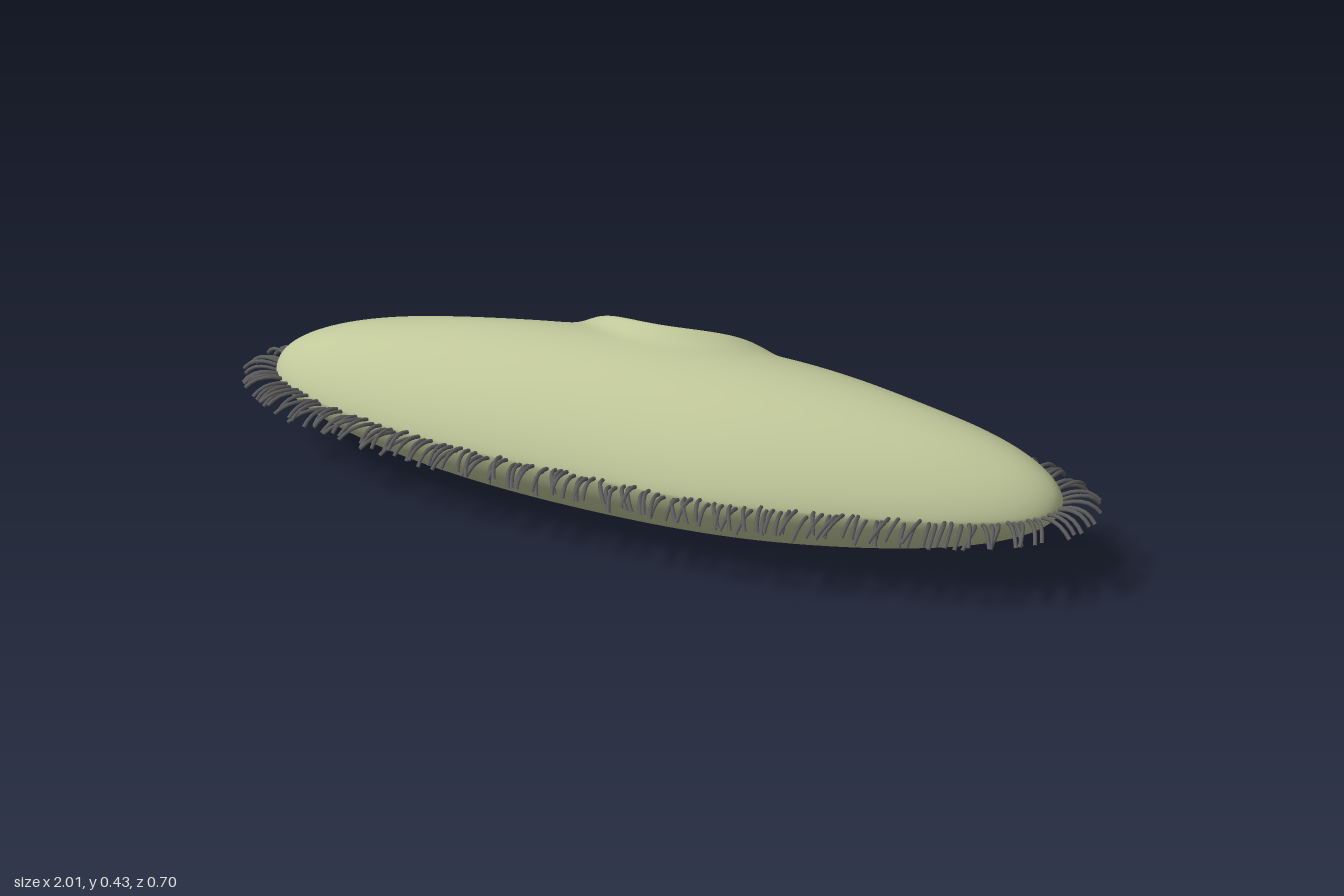
import * as THREE from 'three';
import { mergeGeometries } from 'three/addons/utils/BufferGeometryUtils.js';

const bodyMat = new THREE.MeshStandardMaterial({ color: 0xc0c799 });
bodyMat.name = 'pale olive';
const ciliaMat = new THREE.MeshStandardMaterial({ color: 0x5e5e5e });
ciliaMat.name = 'mid grey';

const gauss = (x, centre, width) => Math.exp(-(((x - centre) / width) ** 2));

// Half width of the body in plan, at a given x, towards the front or the back
function halfWidth(x, front) {
  if (front) return 0.255 + 0.014 * gauss(x, 0.25, 0.25);
  return 0.262 - 0.05 * gauss(x, -0.45, 0.25) - 0.025 * gauss(x, 0, 0.15)
    + 0.012 * gauss(x, 0.3, 0.15) - 0.025 * gauss(x, 0.62, 0.14);
}

// Maps a direction on the unit sphere to the slipper-shaped body
function bodyPoint(d) {
  const c = Math.hypot(d.y, d.z);
  const x = 0.925 * d.x;
  if (c < 1e-6) return new THREE.Vector3(x, 0.19, 0);
  const rise = Math.sign(d.y) * Math.abs(d.y / c) ** 1.4;
  return new THREE.Vector3(
    x,
    0.19 + (d.y > 0 ? 0.212 : 0.19) * c * rise,
    halfWidth(x, d.z > 0) * d.z
  );
}

// Polar frame centred on the mouth opening, high on the back
const TILT = THREE.MathUtils.degToRad(50);
const pole = new THREE.Vector3(0, Math.cos(TILT), -Math.sin(TILT));
const forward = new THREE.Vector3(0, Math.sin(TILT), Math.cos(TILT));
const inward = new THREE.Vector3(0, -0.76, 0.65);

// Angular radius of the mouth rim: long to the front, short to the back
function rimAngle(phi) {
  const s = Math.sin(phi);
  const n = s > 0 ? 1.9 : 2.4;
  const b = s > 0 ? 0.66 : 0.36;
  return (Math.abs(Math.cos(phi) / 0.22) ** n + Math.abs(s / b) ** n) ** (-1 / n);
}

function surfacePoint(theta, phi) {
  const d = pole.clone().multiplyScalar(Math.cos(theta))
    .addScaledVector(forward, Math.sin(theta) * Math.sin(phi));
  d.x += Math.sin(theta) * Math.cos(phi);
  const p = bodyPoint(d);
  const k = theta / rimAngle(phi);
  // raised lip, highest at the front of the mouth
  const lip = 0.008 + 0.022 * Math.max(0, Math.sin(phi)) ** 2;
  p.y += lip * gauss(k, 1, 0.22);
  // hollow inside the rim, with steep walls and a flat floor
  if (k < 1) p.addScaledVector(inward, 0.1 * (1 - k ** 5));
  return p;
}

// Rings around the mouth axis, sharing vertices along the seam
function ringSurface(rings, cols, angleAt) {
  const pos = [], idx = [];
  for (let i = 0; i <= rings; i++) {
    for (let j = 0; j < cols; j++) {
      const phi = (j / cols) * Math.PI * 2;
      pos.push(...surfacePoint(angleAt(i / rings, phi), phi).toArray());
    }
  }
  for (let i = 0; i < rings; i++) {
    for (let j = 0; j < cols; j++) {
      const a = i * cols + j, c = i * cols + ((j + 1) % cols);
      idx.push(a, c, a + cols, c, c + cols, a + cols);
    }
  }
  const g = new THREE.BufferGeometry();
  g.setAttribute('position', new THREE.Float32BufferAttribute(pos, 3));
  g.setIndex(idx);
  g.computeVertexNormals();
  return g;
}

// Fringe of short curved hairs around the widest line of the body
function ciliaGeometry(count) {
  const outline = [];
  for (let i = 0; i < 240; i++) {
    const a = (i / 240) * Math.PI * 2;
    outline.push(bodyPoint(new THREE.Vector3(Math.cos(a), 0, Math.sin(a))));
  }
  const curve = new THREE.CatmullRomCurve3(outline, true);
  curve.arcLengthDivisions = 1000;
  let seed = 7;
  const rand = () => (seed = (seed * 16807) % 2147483647) / 2147483647 - 0.5;
  const hairs = [];
  for (let i = 0; i < count; i++) {
    const u = (i + 0.5 * rand()) / count;
    const base = curve.getPointAt((u + 1) % 1);
    const along = curve.getTangentAt((u + 1) % 1).setY(0).normalize();
    const out = new THREE.Vector3(along.z, 0, -along.x);
    const lean = 0.022 * Math.sin(u * Math.PI * 6) + 0.045 * rand();
    const length = 0.077 + 0.014 * rand();
    const lift = 0.014 * rand();
    const at = (o, l, y) => base.clone().addScaledVector(out, o)
      .addScaledVector(along, l).setY(0.184 + y);
    const path = new THREE.CatmullRomCurve3([
      at(-0.012, 0, lift),
      at(length * 0.35, lean * 0.2, 0.011 + lift),
      at(length * 0.75, lean * 0.6, 0.006 + lift),
      at(length, lean, -0.011 + lift),
    ]);
    hairs.push(new THREE.TubeGeometry(path, 6, 0.0045, 6, false));
  }
  return mergeGeometries(hairs);
}

export function createModel() {
  const model = new THREE.Group();
  model.name = 'singleCelledSwimmer';
  const add = (name, geometry, material) => {
    const mesh = new THREE.Mesh(geometry, material);
    mesh.name = name;
    model.add(mesh);
  };

  // Outer skin from the mouth rim to the far side
  add('body', ringSurface(84, 160, (t, phi) => {
    const rim = rimAngle(phi);
    return rim + (Math.PI - rim) * t ** 1.6;
  }), bodyMat);

  // Lining of the mouth hollow
  add('mouthPocket', ringSurface(28, 160, (t, phi) => rimAngle(phi) * t ** 0.7), bodyMat);

  add('cilia', ciliaGeometry(250), ciliaMat);
  return model;
}
